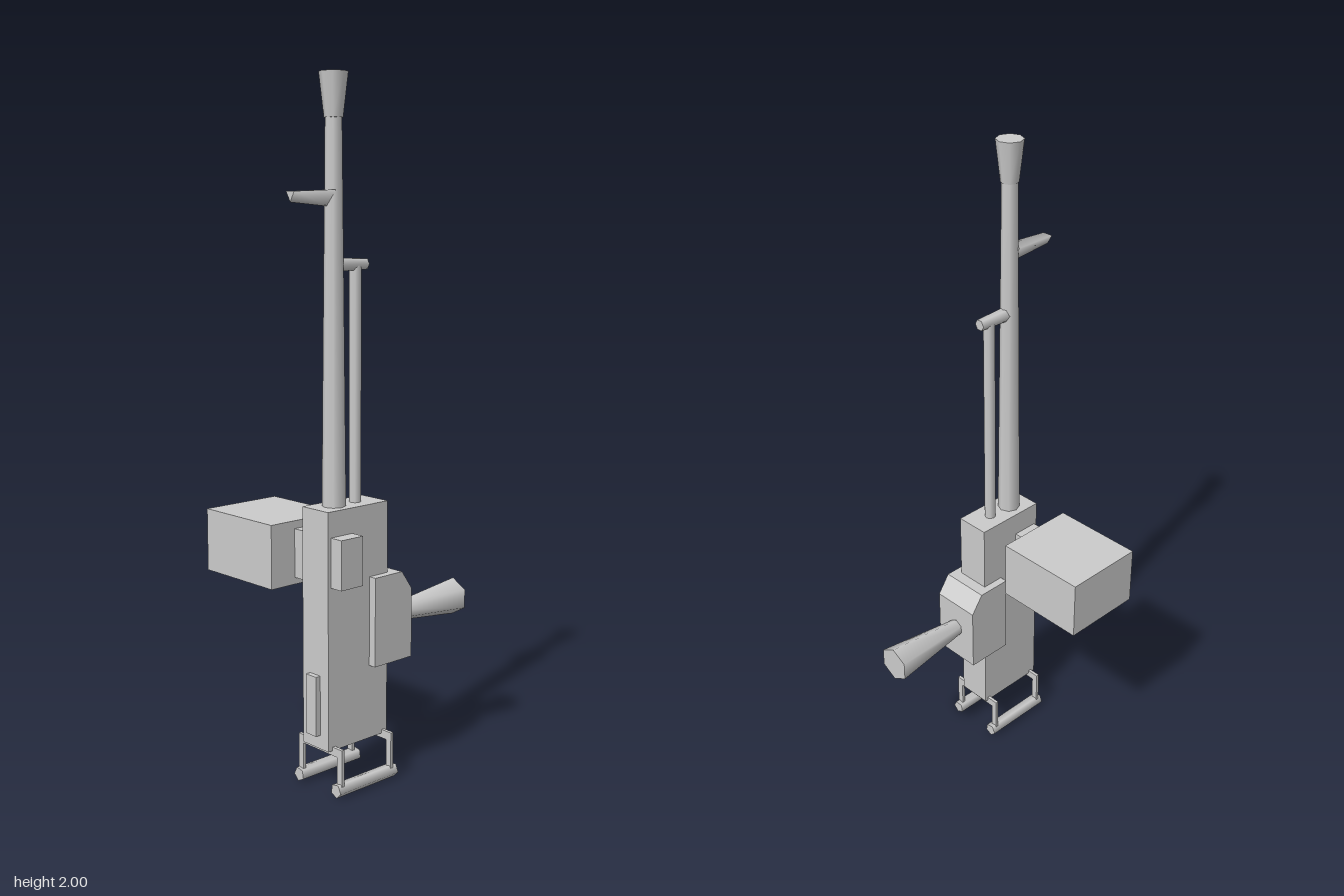
import * as THREE from 'three';

export function createModel() {
  const group = new THREE.Group();
  const material = new THREE.MeshStandardMaterial({ color: 0xcccccc });
  const cx = 0.145; // centre line of the gun

  function add(name, geometry) {
    const mesh = new THREE.Mesh(geometry, material);
    mesh.name = name;
    group.add(mesh);
    return mesh;
  }

  // Box given by its limits on each axis
  function box(name, x0, x1, y0, y1, z0, z1) {
    return add(name, new THREE.BoxGeometry(x1 - x0, y1 - y0, z1 - z0)
      .translate((x0 + x1) / 2, (y0 + y1) / 2, (z0 + z1) / 2));
  }

  // Upright tapered rod from y0 to y1
  function upright(name, r0, r1, y0, y1, z, sides) {
    return add(name, new THREE.CylinderGeometry(r1, r0, y1 - y0, sides)
      .translate(cx, (y0 + y1) / 2, z));
  }

  // Tapered rod along z from z0 to z1, turned by spin about its axis
  function along(name, x, y, r0, r1, z0, z1, sides, spin = 0) {
    return add(name, new THREE.CylinderGeometry(r1, r0, z1 - z0, sides)
      .rotateX(Math.PI / 2).rotateZ(spin).translate(x, y, (z0 + z1) / 2));
  }

  // Receiver, front panel and ammunition box
  box('receiver', 0.092, 0.199, 0.13, 0.82, 0.013, 0.242);
  box('frontPanel', 0.123, 0.165, 0.17, 0.345, 0.23, 0.258);
  box('feedBlock', 0.046, 0.242, 0.605, 0.747, 0.15, 0.232);
  box('ammoBox', -0.247, 0.047, 0.585, 0.77, 0.06, 0.318);

  // Barrel with flared muzzle, front sight and gas tube
  upright('barrel', 0.034, 0.023, 0.82, 1.89, 0.171, 8);
  upright('muzzle', 0.026, 0.04, 1.88, 2, 0.171, 8);
  along('frontSight', cx, 1.675, 0.03, 0.019, 0.185, 0.325, 3);
  upright('gasTube', 0.017, 0.017, 0.82, 1.49, 0.09, 8);
  along('gasBlock', cx, 1.489, 0.017, 0.021, 0.052, 0.165, 6, Math.PI / 2)
    .scale.set(1, 1, 1);

  // Rear mount housing, chamfered at its upper back edge
  const profile = new THREE.Shape([
    [-0.084, 0.348], [0.063, 0.348], [0.063, 0.553], [0.023, 0.61], [-0.084, 0.61],
  ].map(([u, v]) => new THREE.Vector2(u, v)));
  add('mountHousing', new THREE.ExtrudeGeometry(profile, { depth: 0.155, bevelEnabled: false })
    .rotateY(Math.PI / 2).translate(0.068, 0, 0));
  along('mountCone', cx, 0.463, 0.057, 0.026, -0.325, -0.06, 6);

  // Twin grips carried by two thin brackets
  for (const z of [0.028, 0.221]) {
    box('gripCrossbar', 0.053, 0.237, 0.116, 0.141, z - 0.005, z + 0.005);
    for (const side of [-1, 1]) {
      const x = cx + side * 0.082;
      box('gripStem', x - 0.01, x + 0.01, 0.025, 0.13, z - 0.005, z + 0.005);
    }
  }
  for (const side of [-1, 1]) {
    along('grip', cx + side * 0.079, 0.021, 0.021, 0.021, 0.009, 0.237, 5, side * 0.15);
  }
  return group;
}
